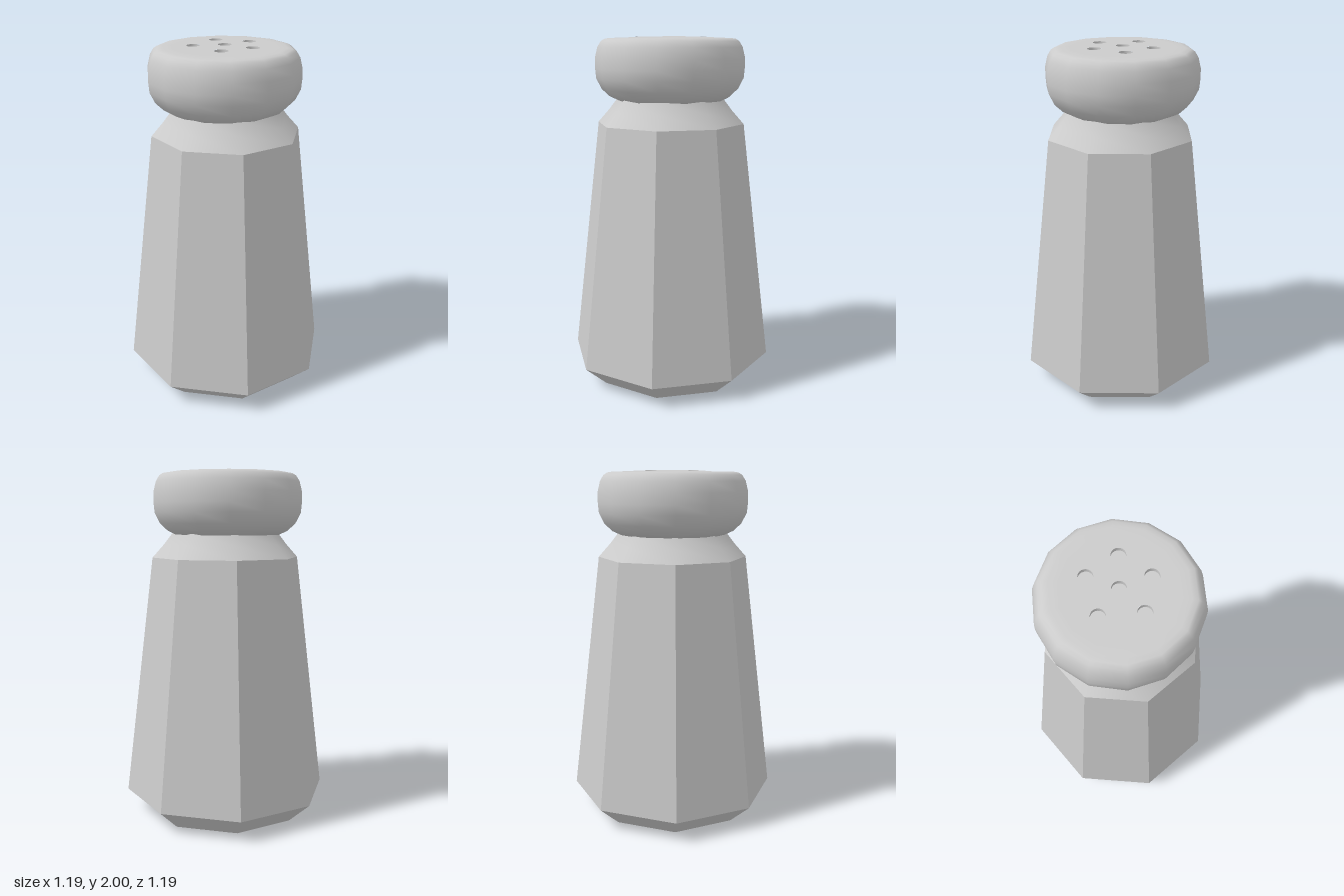
import * as THREE from 'three';

const CAP_X = -0.0125; // the cap sits slightly off the body's axis
const CAP_SIDES = 14;
const PLATE_R = 0.3;
const domeY = (x, z) => 2 - 0.1 * (x * x + z * z);

export function createModel() {
  const group = new THREE.Group();
  const smooth = new THREE.MeshStandardMaterial({ color: 0xcccccc });
  const flat = new THREE.MeshStandardMaterial({ color: 0xcccccc, flatShading: true });
  const inside = new THREE.MeshStandardMaterial({ color: 0xcccccc, side: THREE.BackSide });

  const add = (name, geometry, material, parent = group) => {
    const mesh = new THREE.Mesh(geometry, material);
    mesh.name = name;
    parent.add(mesh);
    return mesh;
  };
  const lathe = (points, sides) =>
    new THREE.LatheGeometry(points.map(([r, y]) => new THREE.Vector2(r, y)), sides, Math.PI / 2);

  // Faceted octagonal glass: closed foot, bevel and tapering walls
  add('body', lathe([[0, 0], [0.462, 0], [0.595, 0.12], [0.427, 1.51]], 8), flat);

  // Smooth shoulder narrowing up into the cap
  add('neck', lathe([[0.427, 1.51], [0.36, 1.585], [0.31, 1.65], [0.29, 1.7]], 8), smooth);

  const cap = new THREE.Group();
  cap.name = 'cap';
  cap.position.x = CAP_X;
  group.add(cap);

  // Rounded side of the cap
  add('capSide', lathe([
    [0.25, 1.65], [0.3, 1.64], [0.35, 1.663], [0.395, 1.705], [0.425, 1.765], [0.43, 1.82],
    [0.43, 1.88], [0.415, 1.94], [0.395, 1.972], [0.375, 1.985], [0.345, 1.99],
    [PLATE_R, domeY(PLATE_R, 0)],
  ], CAP_SIDES), smooth, cap);

  // Slightly domed top plate, pierced by the shaker holes
  const holes = [[0, -0.005], [-0.132, -0.115], [0.052, -0.175], [0.17, -0.02], [-0.137, 0.098], [0.078, 0.148]];
  const holeR = 0.038;
  const outline = [];
  for (let i = 0; i < CAP_SIDES; i++) {
    const a = (i / CAP_SIDES) * Math.PI * 2;
    outline.push(new THREE.Vector2(PLATE_R * Math.cos(a), PLATE_R * Math.sin(a)));
  }
  const shape = new THREE.Shape(outline);
  for (const [x, z] of holes) {
    shape.holes.push(new THREE.Path().absarc(x, -z, holeR, 0, Math.PI * 2, true));
  }
  const plate = new THREE.ShapeGeometry(shape, 12).rotateX(-Math.PI / 2);
  const p = plate.attributes.position;
  for (let i = 0; i < p.count; i++) p.setY(i, domeY(p.getX(i), p.getZ(i)));
  add('capTop', plate, smooth, cap);

  // Wall and floor of each hole
  const depth = 0.025;
  for (const [x, z] of holes) {
    const y = domeY(x, z);
    add('holeWall', new THREE.CylinderGeometry(holeR, holeR, depth, 24, 1, true), inside, cap)
      .position.set(x, y - depth / 2, z);
    add('holeFloor', new THREE.CircleGeometry(holeR, 24).rotateX(-Math.PI / 2), smooth, cap)
      .position.set(x, y - depth, z);
  }

  return group;
}
